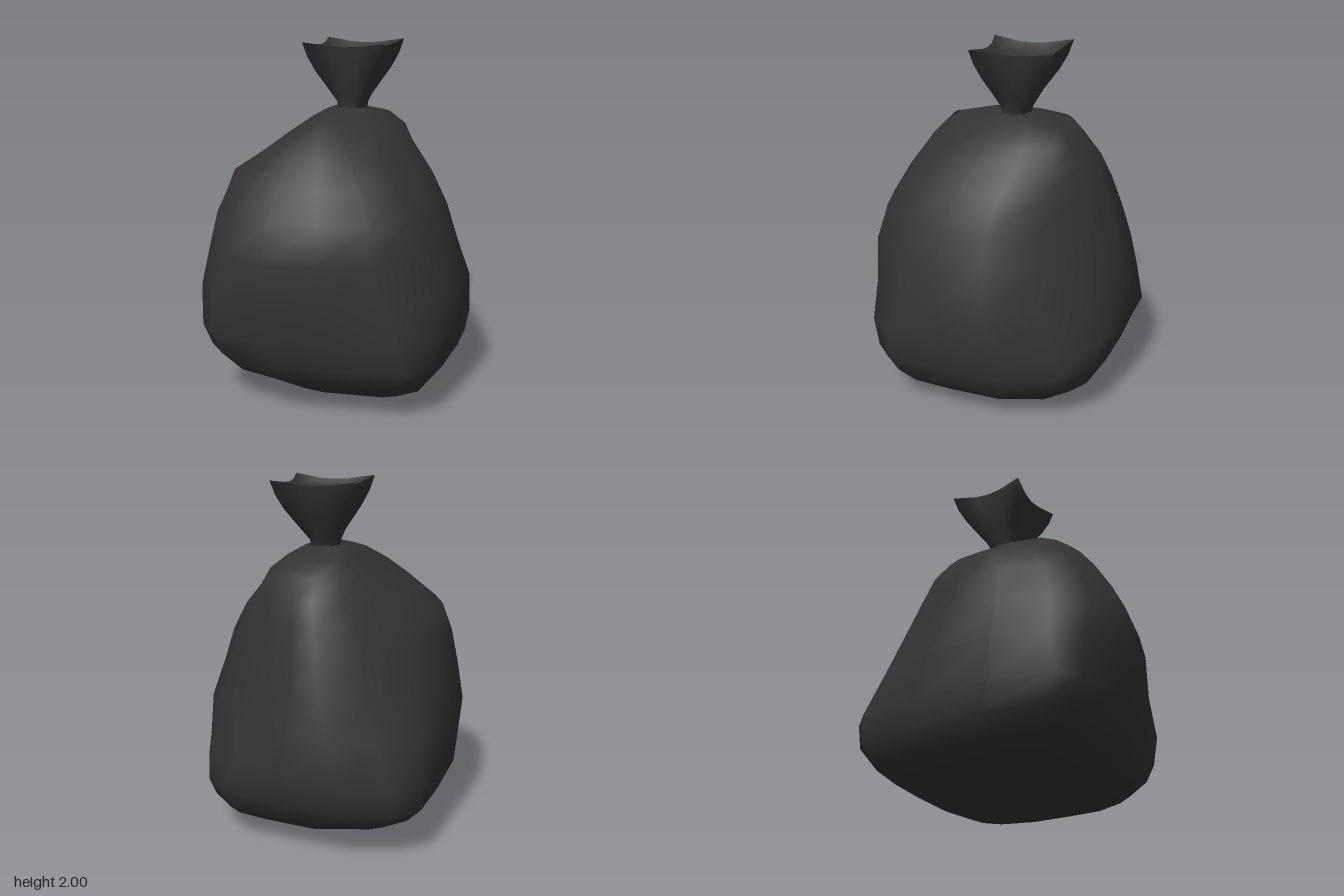
import * as THREE from 'three';

const material = new THREE.MeshStandardMaterial({ color: 0x333333, roughness: 0.8, side: THREE.DoubleSide });

// Smooth skin over closed rings of equal point count, listed in order
function loft(name, rings) {
  const n = rings[0].length;
  const index = [];
  for (let j = 0; j < rings.length - 1; j++) {
    for (let i = 0; i < n; i++) {
      const a = j * n + i, b = j * n + (i + 1) % n;
      index.push(a, a + n, b, b, a + n, b + n);
    }
  }
  const geometry = new THREE.BufferGeometry();
  geometry.setAttribute('position', new THREE.Float32BufferAttribute(rings.flat(2), 3));
  geometry.setIndex(index);
  geometry.computeVertexNormals();
  const mesh = new THREE.Mesh(geometry, material);
  mesh.name = name;
  return mesh;
}

const pole = (x, y, z) => Array.from({ length: 16 }, () => [x, y, z]);

// Ring from its reach in eight directions (every 45 degrees from +x towards +z), corners cut
function sackRing(y, reach) {
  const s = Math.SQRT1_2;
  const corners = reach.map((h, i) => {
    const a = i * Math.PI / 4, next = reach[(i + 1) % 8];
    const side = (next - h * s) / s;
    return [h * Math.cos(a) - side * Math.sin(a), h * Math.sin(a) + side * Math.cos(a)];
  });
  const ring = [];
  corners.forEach(([x, z], i) => {
    const [u, v] = corners[(i + 1) % 8];
    for (const t of [0.27, 0.73]) ring.push([x + (u - x) * t, y, z + (v - z) * t]);
  });
  // Slant the four main sides: front and back sink towards +x, the sides towards one end
  ring[2][2] *= 0.95;
  ring[11][2] *= 0.95;
  ring[7][0] *= 0.965;
  ring[15][0] *= 0.965;
  return ring;
}

// Ring of the gathered top: pleated circle blending into a pinched square
function collarRing(y, r, square, tipRise = 0) {
  const ring = [];
  for (let i = 0; i < 16; i++) {
    const a = i * Math.PI / 8, c = Math.cos(a), s = Math.sin(a);
    const corner = Math.abs(Math.sin(2 * a)) ** 5;
    const box = (0.85 + 0.15 * corner) / Math.max(Math.abs(c), Math.abs(s));
    const pleat = 1 + 0.08 * (i % 2 ? -1 : 1);
    const k = r * (pleat + (box - pleat) * square);
    ring.push([0.022 + k * c, y + tipRise * corner, -0.06 - 0.035 * square + k * s]);
  }
  return ring;
}

export function createModel() {
  const group = new THREE.Group();
  group.name = 'tiedSack';

  // Lopsided full body
  const levels = [
    [0.05, 0.44, 0.51, 0.42, 0.38, 0.30, 0.40, 0.44, 0.50],
    [0.12, 0.60, 0.66, 0.54, 0.55, 0.53, 0.60, 0.56, 0.64],
    [0.20, 0.66, 0.75, 0.65, 0.71, 0.63, 0.75, 0.68, 0.72],
    [0.30, 0.70, 0.80, 0.69, 0.81, 0.71, 0.85, 0.72, 0.76],
    [0.45, 0.73, 0.81, 0.75, 0.88, 0.72, 0.86, 0.785, 0.75],
    [0.68, 0.73, 0.76, 0.76, 0.87, 0.74, 0.76, 0.755, 0.68],
    [0.90, 0.655, 0.72, 0.79, 0.83, 0.70, 0.67, 0.715, 0.61],
    [1.10, 0.59, 0.66, 0.715, 0.77, 0.66, 0.59, 0.66, 0.56],
    [1.27, 0.49, 0.54, 0.61, 0.66, 0.61, 0.52, 0.60, 0.515],
    [1.40, 0.375, 0.42, 0.51, 0.53, 0.42, 0.455, 0.54, 0.47],
    [1.50, 0.31, 0.30, 0.41, 0.40, 0.29, 0.395, 0.46, 0.43],
    [1.58, 0.21, 0.18, 0.32, 0.26, 0.18, 0.33, 0.36, 0.33],
    [1.62, 0.14, 0.11, 0.15, 0.13, 0.11, 0.19, 0.21, 0.17],
  ];
  const bottom = sackRing(0, [0.22, 0.22, 0.14, 0.08, 0.04, 0.10, 0.17, 0.24]);
  group.add(loft('sackBody', [
    pole(0.1, 0, -0.01), bottom,
    ...levels.map(([y, ...reach]) => sackRing(y, reach)),
    pole(0.02, 1.64, -0.06),
  ]));

  // Flared gathered top with four pointed corners
  const rim = collarRing(1.975, 0.233, 1, 0.025);
  group.add(loft('gatheredTop', [
    collarRing(1.61, 0.08, 0), collarRing(1.66, 0.088, 0.1), collarRing(1.75, 0.138, 0.5),
    collarRing(1.84, 0.183, 0.8), collarRing(1.92, 0.213, 0.95), rim,
  ]));

  // Shallow hollow inside the gathered top
  group.add(loft('topHollow', [
    rim, collarRing(1.935, 0.18, 0.9), collarRing(1.915, 0.1, 0.7), pole(0.022, 1.91, -0.09),
  ]));

  return group;
}
